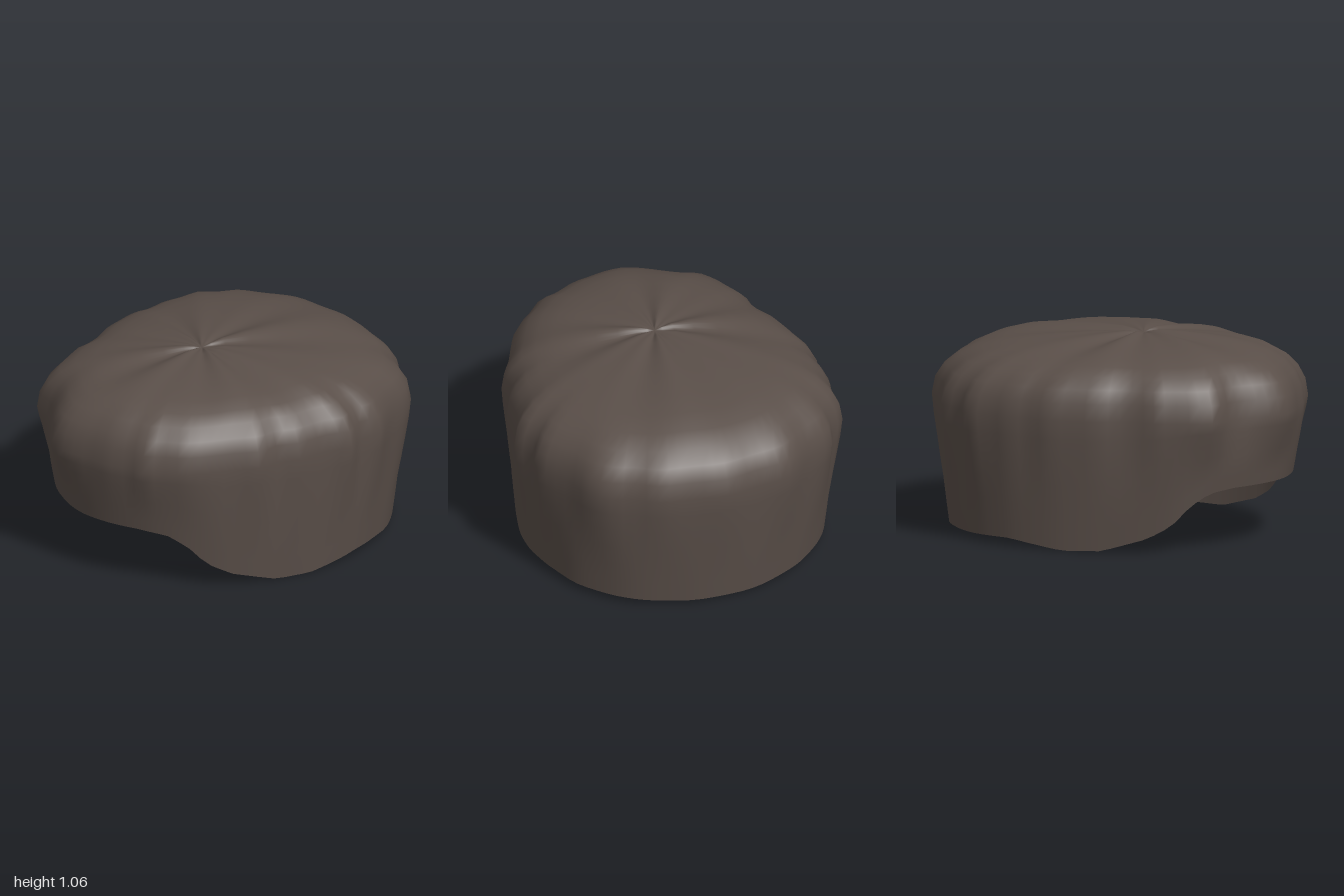
import * as THREE from 'three';

// Widest outline seen from above, [x, z], starting at the back
const OUTLINE = [
  [-0.03, -1], [0.15, -0.97], [0.33, -0.94], [0.44, -0.87], [0.57, -0.82], [0.65, -0.74], [0.7, -0.61],
  [0.76, -0.51], [0.82, -0.41], [0.8, -0.3], [0.86, -0.19], [0.815, -0.1], [0.8, 0], [0.79, 0.12],
  [0.74, 0.21], [0.75, 0.31], [0.67, 0.45], [0.63, 0.54], [0.55, 0.69], [0.45, 0.78], [0.41, 0.84],
  [0.33, 0.855], [0.2, 0.92], [0.1, 0.94], [-0.03, 0.98], [-0.14, 0.99], [-0.25, 0.93], [-0.33, 0.86],
  [-0.43, 0.8], [-0.54, 0.78], [-0.61, 0.69], [-0.66, 0.57], [-0.7, 0.5], [-0.7, 0.43], [-0.73, 0.3],
  [-0.79, 0.2], [-0.82, 0.08], [-0.86, -0.08], [-0.84, -0.16], [-0.855, -0.29], [-0.83, -0.41],
  [-0.83, -0.53], [-0.74, -0.62], [-0.7, -0.73], [-0.55, -0.82], [-0.4, -0.94], [-0.2, -0.97],
];
// Rounded top: [share of outline, height]
const TOP = [
  [0.05, 1.045], [0.12, 1.05], [0.25, 1.043], [0.4, 1.03], [0.55, 1.012], [0.68, 0.99],
  [0.79, 0.96], [0.88, 0.918], [0.945, 0.86], [0.985, 0.79], [1, 0.7],
];
// Side wall: [share of outline, share of the way down to the hem]
const WALL = [[0.998, 0.15], [0.99, 0.32], [0.98, 0.5], [0.968, 0.68], [0.955, 0.85], [0.943, 1]];
// Hem height against z: high over the brow, low at the sides and back
const HEM = [
  [-1, 0.02], [-0.93, 0.022], [-0.8, 0.04], [-0.3, 0.05], [0, 0.005], [0.2, 0.01],
  [0.43, 0.08], [0.55, 0.15], [0.63, 0.25], [0.71, 0.315], [0.8, 0.335], [1, 0.335],
];
const CROWN = { x: -0.02, y: 1.04, z: 0.1 };
const SEGMENTS = 96;
const SMOOTHING = 4;

function hemHeight(z) {
  const i = Math.max(1, HEM.findIndex(([end]) => z <= end));
  const [z0, y0] = HEM[i - 1], [z1, y1] = HEM[i];
  return THREE.MathUtils.lerp(y0, y1, (z - z0) / (z1 - z0));
}

// Average each rim point with its neighbours
function smoothRim(rim) {
  return rim.map((_, i) => {
    const sum = new THREE.Vector3();
    for (let k = -SMOOTHING; k <= SMOOTHING; k++) sum.add(rim[(i + k + SEGMENTS) % SEGMENTS]);
    return sum.divideScalar(2 * SMOOTHING + 1);
  });
}

function shellGeometry() {
  const curve = new THREE.CatmullRomCurve3(OUTLINE.map(([x, z]) => new THREE.Vector3(x, 0, z)), true);
  const lumpy = curve.getSpacedPoints(SEGMENTS).slice(0, SEGMENTS);
  const smooth = smoothRim(lumpy);
  const positions = [CROWN.x, CROWN.y, CROWN.z];
  const index = [];

  // Lumps are strongest at the shoulder and fade out towards crown and hem
  const addRing = (share, lumps, heightAt) => lumpy.forEach((point, i) => {
    const p = smooth[i].clone().lerp(point, lumps);
    const x = CROWN.x + (p.x - CROWN.x) * share;
    const z = CROWN.z + (p.z - CROWN.z) * share;
    positions.push(x, heightAt(z, Math.atan2(p.x - CROWN.x, CROWN.z - p.z)), z);
  });

  // Top, fuller at front and back, with shallow pleats gathering at the crown
  for (const [share, y] of TOP) {
    const pleat = 0.035 * Math.sqrt(share) * (1 - share);
    const fullness = 0.08 * share * share * (1 - share);
    addRing(share, share ** 3, (z, a) => y + fullness * Math.cos(a) ** 2
      + pleat * (0.6 * Math.sin(7 * a + 0.6) + 0.4 * Math.sin(11 * a)));
  }
  // Wall running down to the hem
  const shoulder = TOP[TOP.length - 1][1];
  for (const [share, down] of WALL) {
    addRing(share, Math.max(0, 1 - 1.5 * down), (z) => THREE.MathUtils.lerp(shoulder, hemHeight(z), down));
  }

  // Crown fan, then bands between rings
  const rings = TOP.length + WALL.length;
  for (let i = 0; i < SEGMENTS; i++) {
    const j = (i + 1) % SEGMENTS;
    index.push(0, 1 + j, 1 + i);
    for (let r = 0; r < rings - 1; r++) {
      const a = 1 + r * SEGMENTS, b = a + SEGMENTS;
      index.push(a + i, a + j, b + j, a + i, b + j, b + i);
    }
  }

  const geometry = new THREE.BufferGeometry();
  geometry.setAttribute('position', new THREE.Float32BufferAttribute(positions, 3));
  geometry.setIndex(index);
  geometry.computeVertexNormals();
  return geometry;
}

export function createModel() {
  const group = new THREE.Group();
  group.name = 'hair';
  const darkBrown = new THREE.MeshStandardMaterial({ color: 0x594e48, side: THREE.DoubleSide });
  darkBrown.name = 'darkBrown';

  // Open hair shell
  const shell = new THREE.Mesh(shellGeometry(), darkBrown);
  shell.name = 'hairShell';
  group.add(shell);
  return group;
}
